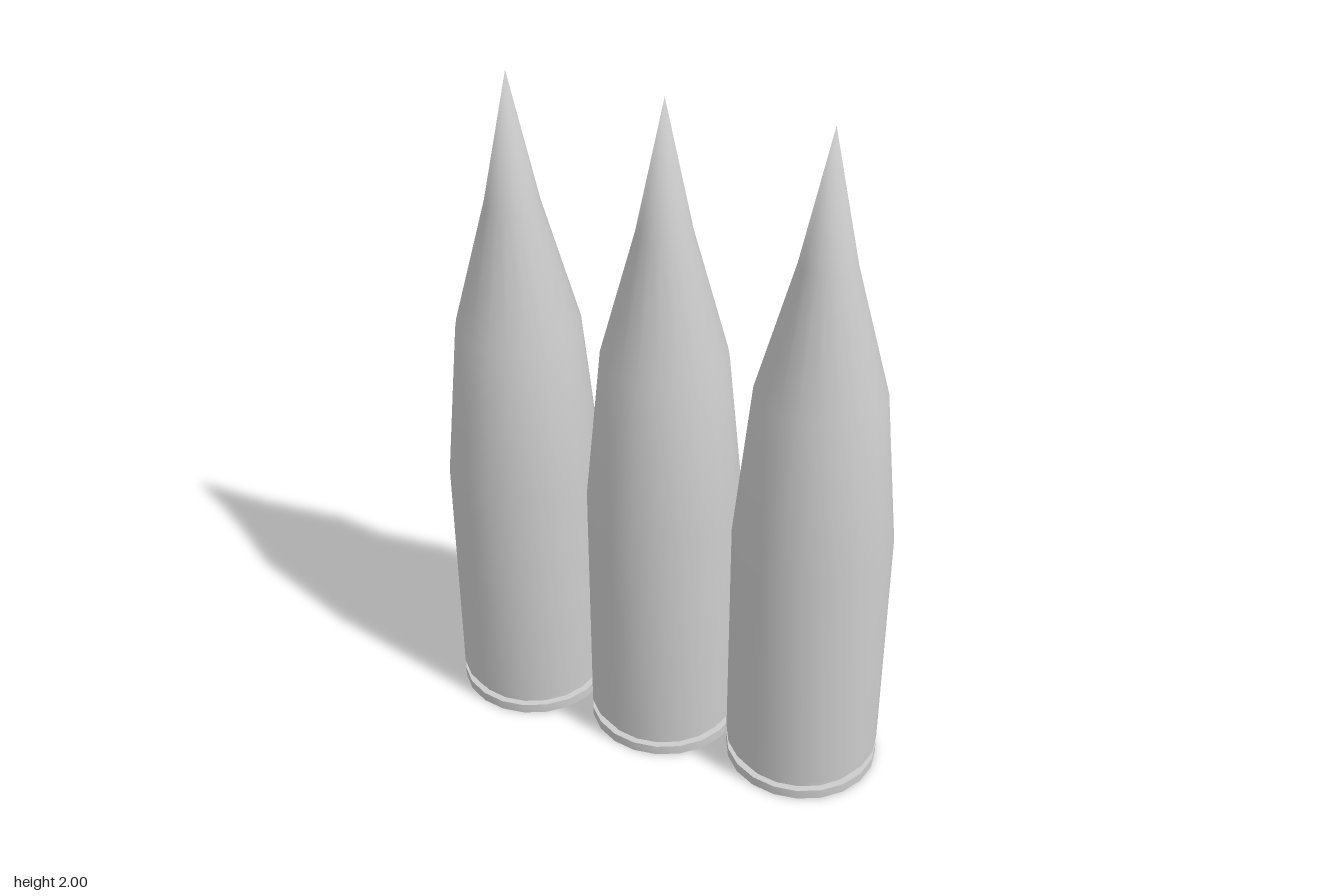
import * as THREE from 'three';
import { toCreasedNormals } from 'three/addons/utils/BufferGeometryUtils.js';

const SIDES = 20;
const R = 0.225;

// Turn a [radius, height] profile, smooth around but sharp at the steps
function turned(profile) {
  const points = profile.map(([r, y]) => new THREE.Vector2(r, y));
  return toCreasedNormals(new THREE.LatheGeometry(points, SIDES), 0.6);
}

export function createModel() {
  const group = new THREE.Group();
  group.name = 'cartridges';
  const material = new THREE.MeshStandardMaterial({ color: 0xcccccc });

  // Flat base disc with the extraction groove above it
  const rim = turned([[0, 0], [R, 0], [R, 0.03], [0.205, 0.03], [0.205, 0.06]]);

  // Straight casing, tapered shoulder and pointed nose
  const shell = turned([[0.205, 0.06], [R, 0.06], [R, 0.79], [0.178, 1.26], [0.077, 1.63], [0, 2]]);

  // Round off the shading at the very tip
  const { position, normal } = shell.attributes;
  for (let i = 0; i < position.count; i++) {
    if (position.getY(i) > 1.99) normal.setXYZ(i, 0, 1, 0);
  }

  // Three in a row, side by side
  for (const [name, i] of [['right', -1], ['middle', 0], ['left', 1]]) {
    const cartridge = new THREE.Group();
    cartridge.name = name + 'Cartridge';
    cartridge.position.x = i * 2 * R;
    for (const [part, geometry] of [['rim', rim], ['shell', shell]]) {
      const mesh = new THREE.Mesh(geometry, material);
      mesh.name = part;
      cartridge.add(mesh);
    }
    group.add(cartridge);
  }
  return group;
}
